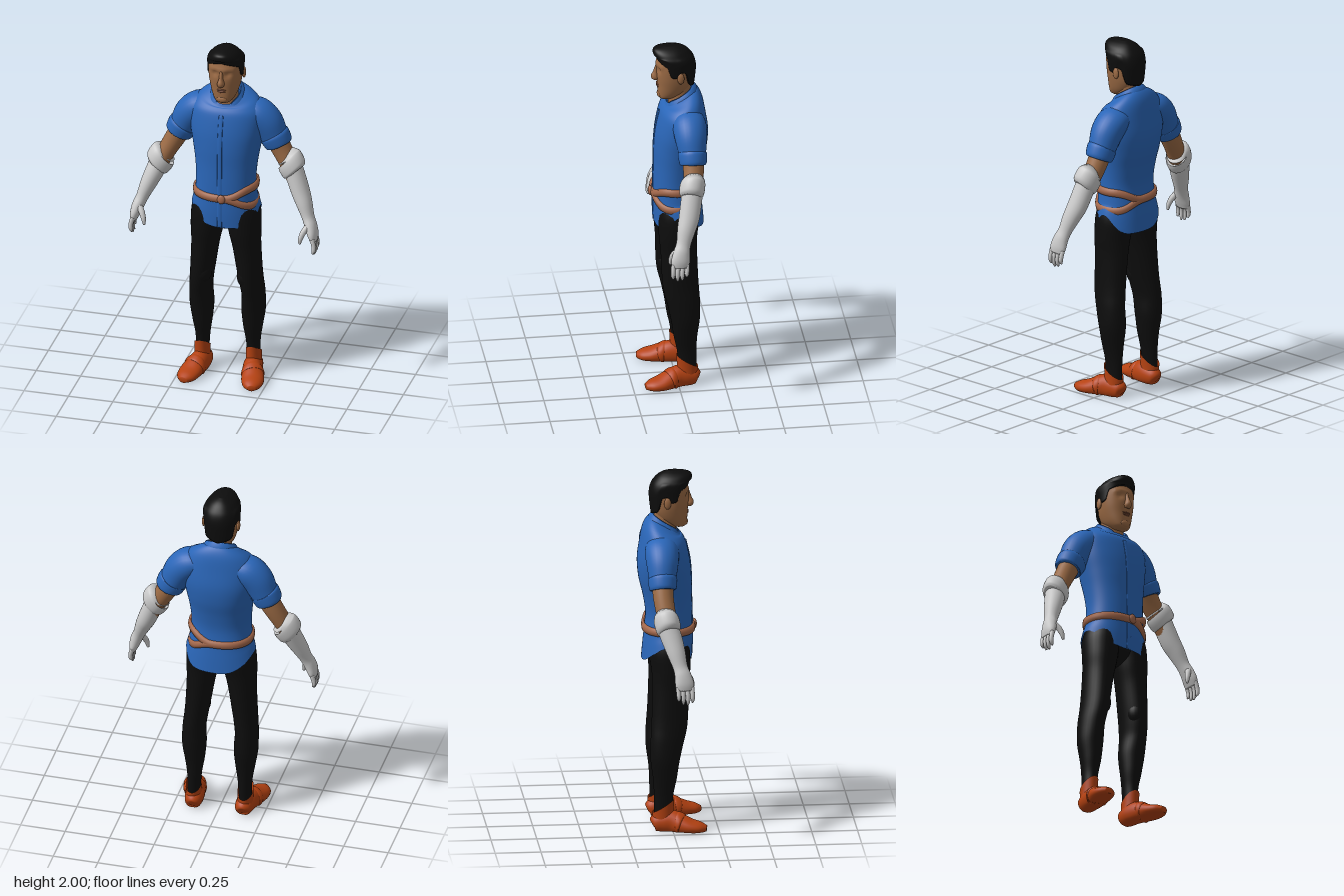
import * as THREE from 'three';

const V = (x, y, z) => new THREE.Vector3(x, y, z);
const mat = (color) => new THREE.MeshStandardMaterial({ color, side: THREE.DoubleSide });
const BLUE = mat(0x2a66b8), SKIN = mat(0x9c6b45), LIP = mat(0x84513a), BLACK = mat(0x0d0d0d);
const LEATHER = mat(0xa5694c), BOOT = mat(0xb54212), GLOVE = mat(0xd2d2d2);
const { smoothstep, lerp } = THREE.MathUtils;

// Catmull-Rom smoothing of every column of a table of cross-sections
function spline(rows, n = 5) {
  const cr = (a, b, c, d, t) => 0.5 * (2 * b + (c - a) * t + (2 * a - 5 * b + 4 * c - d) * t * t + (3 * b - a - 3 * c + d) * t * t * t);
  const out = [], last = rows.length - 1;
  for (let i = 0; i < last; i++) {
    const [p, q, r, s] = [Math.max(i - 1, 0), i, i + 1, Math.min(i + 2, last)].map(k => rows[k]);
    for (let k = 0; k < n; k++) out.push(q.map((_, c) => cr(p[c], q[c], r[c], s[c], k / n)));
  }
  out.push(rows[last]);
  return out;
}

// Skin a list of closed loops, optionally capping the ends
function loft(name, loops, material, cap = true) {
  const n = loops[0].length, pos = [], idx = [];
  loops.forEach(l => l.forEach(p => pos.push(p.x, p.y, p.z)));
  for (let i = 0; i < loops.length - 1; i++) for (let j = 0; j < n; j++) {
    const a = i * n + j, b = i * n + (j + 1) % n;
    idx.push(a, b, b + n, a, b + n, a + n);
  }
  if (cap) [0, loops.length - 1].forEach((i, end) => {
    const c = loops[i].reduce((s, p) => s.add(p), V(0, 0, 0)).divideScalar(n), k = pos.length / 3;
    pos.push(c.x, c.y, c.z);
    for (let j = 0; j < n; j++) {
      const a = i * n + j, b = i * n + (j + 1) % n;
      idx.push(...(end ? [a, b, k] : [b, a, k]));
    }
  });
  const g = new THREE.BufferGeometry();
  g.setAttribute('position', new THREE.Float32BufferAttribute(pos, 3));
  g.setIndex(idx);
  g.computeVertexNormals();
  const m = new THREE.Mesh(g, material);
  m.name = name;
  return m;
}

// Horizontal loop: half width, front z, back z, and slope along z
function ring([y, w, zf, zb, tilt = 0], deform, e = 0.92, n = 64) {
  return Array.from({ length: n }, (_, j) => {
    const a = j / n * Math.PI * 2, s = Math.sin(a), c = Math.cos(a);
    const dz = Math.sign(c) * Math.abs(c) ** e * (zf - zb) / 2;
    const p = V(Math.sign(s) * Math.abs(s) ** e * w, y + dz * tilt, (zf + zb) / 2 + dz);
    if (deform) deform(p, a);
    return p;
  });
}
const stack = (name, rows, material, deform, cap, e) =>
  loft(name, spline(rows).map(r => ring(r, deform, e)), material, cap);

// Limb along a path; rows are [x, y, z, half width, half depth]
function limb(name, rows, material, { ref = V(0, 0, 1), n = 28, deform, cap = true } = {}) {
  const rs = spline(rows), at = i => V(...rs[Math.min(Math.max(i, 0), rs.length - 1)].slice(0, 3));
  return loft(name, rs.map((r, i) => {
    const d = at(i + 1).sub(at(i - 1)).normalize();
    const u = d.clone().cross(ref).normalize(), v = u.clone().cross(d);
    return Array.from({ length: n }, (_, j) => {
      const a = j / n * Math.PI * 2;
      const p = at(i).addScaledVector(u, Math.sin(a) * r[3]).addScaledVector(v, Math.cos(a) * r[4]);
      if (deform) deform(p);
      return p;
    });
  }), material, cap);
}

function ball(name, p, r, material) {
  const m = new THREE.Mesh(new THREE.SphereGeometry(1, 24, 16).scale(...r).translate(...p), material);
  m.name = name;
  return m;
}

// Flip finished meshes to the other side, keeping faces outward
function mirror(group) {
  group.children.forEach(({ geometry: g }) => {
    g.scale(-1, 1, 1);
    const ix = g.index.array;
    for (let i = 0; i < ix.length; i += 3) [ix[i], ix[i + 1]] = [ix[i + 1], ix[i]];
    g.computeVertexNormals();
  });
  return group;
}
const grouped = (name, ...parts) => { const g = new THREE.Group(); g.name = name; g.add(...parts); return g; };

function shirt() {
  const rows = [[0.94, 0.192, 0.116, -0.157], [1.02, 0.184, 0.12, -0.15], [1.1, 0.172, 0.12, -0.142], [1.2, 0.165, 0.119, -0.135],
    [1.3, 0.172, 0.116, -0.15], [1.4, 0.188, 0.115, -0.173], [1.5, 0.205, 0.106, -0.18], [1.6, 0.205, 0.084, -0.166],
    [1.662, 0.168, 0.064, -0.148, -0.25], [1.69, 0.115, 0.053, -0.118, -0.55], [1.7, 0.074, 0.045, -0.09, -0.6]]
    .map(r => r.length < 5 ? [...r, 0] : r);
  // Shirt tails: low front and back, slit up at the hips
  const hem = a => 0.94 + 0.1 * Math.abs(Math.sin(a)) ** (Math.sin(a) > 0 ? 7 : 2.5);
  const tails = (p, a) => { if (p.y < 1.1) p.y = 1.1 - (1.1 - p.y) * (1.1 - hem(a)) / 0.16; };
  const placket = rows.slice(0, 8).map(r => [-0.004, r[0] + 0.005, r[2], 0.013, 0.004]);
  // Folded collar dropping to a V in front
  const band = (y, w, f, b) => ring([y, w, f, b, -0.62], (p, a) => { p.y -= 0.03 * Math.max(0, Math.cos(a)) ** 6; });
  const collar = [band(1.665, 0.1, 0.066, -0.122), band(1.685, 0.1, 0.064, -0.12), band(1.713, 0.08, 0.05, -0.102),
    band(1.717, 0.073, 0.043, -0.094), band(1.675, 0.073, 0.043, -0.09)];
  return grouped('shirt', stack('shirtBody', rows, BLUE, tails, false),
    limb('placket', placket, BLUE, { n: 12 }), loft('collar', collar, BLUE, false));
}

// Two straps that run together on one hip and part on the other
function belt() {
  const strap = (sign) => {
    const rr = (dy, o) => ring([1.12 + dy, 0.167 + o, 0.121 + o, -0.141 - o],
      (p, a) => { p.y += sign * 0.052 * smoothstep(Math.sin(a), 0.1, 0.95); });
    return loft('beltStrap', [rr(-0.021, 0), rr(-0.019, 0.013), rr(0, 0.016), rr(0.019, 0.013), rr(0.021, 0)], LEATHER, false);
  };
  return grouped('belt', strap(1), strap(-1), ball('buckle', [0.01, 1.122, 0.135], [0.022, 0.027, 0.012], LEATHER));
}

function head() {
  const face = (p) => {
    if (p.z < 0.02) return;
    const eye = Math.exp(-((Math.abs(p.x) - 0.036) ** 2 + (p.y - 1.866) ** 2) / 0.0003);
    const brow = Math.exp(-((p.y - 1.89) ** 2) / 0.00015) * (Math.abs(p.x) < 0.07 ? 1 : 0);
    p.z += 0.005 * brow - 0.011 * eye;
  };
  const skull = stack('face', [[1.683, 0.03, 0.078, 0.02], [1.695, 0.048, 0.09, -0.01], [1.725, 0.067, 0.093, -0.06], [1.77, 0.081, 0.095, -0.088],
    [1.82, 0.09, 0.099, -0.096], [1.88, 0.094, 0.1, -0.1], [1.93, 0.091, 0.092, -0.1], [1.965, 0.068, 0.07, -0.07], [1.98, 0.03, 0.03, -0.03]],
    SKIN, face);
  const edge = [[0, 1.935], [0.6, 1.92], [1.1, 1.9], [1.3, 1.84], [1.6, 1.835], [1.75, 1.87], [2.05, 1.86], [2.3, 1.78], [3.2, 1.755]];
  const hairline = (a) => {
    const t = Math.min(a, Math.PI * 2 - a), i = edge.findIndex(e => e[0] > t);
    const [p, q] = [edge[i - 1], edge[i]];
    return lerp(p[1], q[1], (t - p[0]) / (q[0] - p[0]));
  };
  const hair = stack('hair', [[1.755, 0.098, 0.102, -0.105], [1.82, 0.1, 0.104, -0.113], [1.88, 0.101, 0.106, -0.116], [1.93, 0.096, 0.112, -0.103],
    [1.965, 0.077, 0.119, -0.077], [1.986, 0.05, 0.108, -0.05], [1.998, 0.02, 0.06, -0.02]], BLACK,
    (p, a) => { if (p.y < 1.95) p.y = 1.95 - (1.95 - p.y) * (1.95 - hairline(a)) / 0.195; });
  const g = grouped('head', skull, hair,
    stack('neck', [[1.58, 0.07, 0.035, -0.09], [1.66, 0.063, 0.034, -0.092], [1.72, 0.06, 0.03, -0.088], [1.8, 0.06, 0.02, -0.085]], SKIN),
    limb('nose', [[0, 1.885, 0.092, 0.009, 0.011], [0, 1.84, 0.1, 0.012, 0.018], [0, 1.812, 0.105, 0.02, 0.024], [0, 1.796, 0.098, 0.015, 0.01]], SKIN),
    ball('upperLip', [0, 1.769, 0.094], [0.026, 0.005, 0.007], LIP),
    ball('lowerLip', [0, 1.758, 0.093], [0.022, 0.006, 0.007], LIP),
    ball('chin', [0, 1.708, 0.083], [0.03, 0.02, 0.014], SKIN));
  for (const s of [-1, 1]) g.add(ball('ear', [s * 0.097, 1.835, -0.022], [0.01, 0.032, 0.019], SKIN));
  return g;
}

// Arm on the left; gx, gy place the glove cuff
function arm(name, gx, gy) {
  const g = grouped(name,
    limb('sleeve', [[0.1, 1.6, -0.06, 0.06, 0.08], [0.16, 1.583, -0.06, 0.084, 0.092], [0.212, 1.535, -0.061, 0.088, 0.088],
      [0.25, 1.465, -0.064, 0.079, 0.076], [0.278, 1.412, -0.065, 0.069, 0.067]], BLUE),
    limb('sleeveCuff', [[0.253, 1.46, -0.064, 0.076, 0.074], [0.257, 1.453, -0.064, 0.084, 0.08], [0.28, 1.41, -0.065, 0.078, 0.074],
      [0.284, 1.402, -0.065, 0.066, 0.064]], BLUE),
    limb('upperArm', [[0.25, 1.46, -0.064, 0.06, 0.06], [0.3, 1.37, -0.064, 0.056, 0.056], [0.35, 1.28, -0.052, 0.05, 0.053],
      [0.4, 1.18, -0.03, 0.047, 0.05]], SKIN),
    limb('gloveCuff', [[gx - 0.022, gy + 0.045, -0.055, 0.05, 0.054], [gx - 0.022, gy + 0.05, -0.056, 0.06, 0.066], [gx - 0.008, gy + 0.02, -0.05, 0.064, 0.07],
      [gx + 0.012, gy - 0.022, -0.044, 0.061, 0.066], [gx + 0.02, gy - 0.04, -0.04, 0.05, 0.055]], GLOVE,
      { deform: p => { p.y += 0.55 * (p.x - gx); } }),
    limb('glove', [[gx, gy, -0.05, 0.053, 0.058], [0.41, 1.16, -0.027, 0.051, 0.057], [0.44, 1.09, -0.006, 0.044, 0.05], [0.467, 1.02, 0.013, 0.034, 0.04],
      [0.486, 0.975, 0.026, 0.033, 0.045], [0.5, 0.93, 0.034, 0.028, 0.051], [0.507, 0.895, 0.036, 0.019, 0.045]], GLOVE),
    limb('thumb', [[0.478, 0.985, 0.045, 0.017, 0.018], [0.455, 0.95, 0.068, 0.016, 0.016], [0.442, 0.915, 0.08, 0.013, 0.013],
      [0.438, 0.885, 0.083, 0.007, 0.007]], GLOVE, { n: 12 }));
  [0, 1, 2, 3].forEach(i => {
    const z = 0.073 - i * 0.025, tip = [0.83, 0.816, 0.82, 0.84][i];
    g.add(limb('finger', [[0.505, 0.915, z, 0.013, 0.013], [0.515, 0.875, z + 0.003, 0.0125, 0.0125],
      [0.515, lerp(0.875, tip, 0.6), z + 0.004, 0.011, 0.011], [0.508, tip, z + 0.003, 0.005, 0.005]], GLOVE, { n: 12 }));
  });
  return g;
}

function leg(name) {
  const along = { ref: V(0, 1, 0), deform: p => { p.y = Math.max(p.y, 0); } };
  return grouped(name,
    limb('trouserLeg', [[0.145, 0.08, -0.05, 0.034, 0.05], [0.142, 0.2, -0.048, 0.039, 0.053], [0.142, 0.3, -0.041, 0.054, 0.066],
      [0.145, 0.4, -0.04, 0.066, 0.08], [0.147, 0.5, -0.03, 0.063, 0.09], [0.139, 0.58, -0.018, 0.064, 0.097], [0.13, 0.66, -0.012, 0.068, 0.099],
      [0.116, 0.8, -0.008, 0.077, 0.1], [0.106, 0.9, -0.005, 0.09, 0.106], [0.095, 1, -0.012, 0.096, 0.112], [0.085, 1.08, -0.01, 0.08, 0.1]], BLACK),
    ball('knee', [0.126, 0.62, 0.03], [0.055, 0.07, 0.053], BLACK),
    // Boot shaft rises to a point over the shin
    limb('bootShaft', [[0.144, 0.03, -0.05, 0.046, 0.056], [0.145, 0.08, -0.051, 0.043, 0.056], [0.145, 0.142, -0.05, 0.043, 0.06]], BOOT,
      { cap: false, deform: p => { p.y += 0.65 * (p.z + 0.05) * smoothstep(p.y, 0.05, 0.14); } }),
    limb('bootFoot', [[0.14, 0.035, -0.11, 0.02, 0.022], [0.14, 0.04, -0.097, 0.042, 0.046], [0.143, 0.045, -0.05, 0.052, 0.06], [0.15, 0.045, 0, 0.054, 0.066],
      [0.165, 0.036, 0.05, 0.06, 0.053], [0.178, 0.026, 0.1, 0.062, 0.04], [0.187, 0.02, 0.15, 0.05, 0.03], [0.193, 0.017, 0.183, 0.022, 0.016]], BOOT, along),
    limb('bootBand', [[0.157, 0.04, 0.025, 0.056, 0.06], [0.159, 0.04, 0.031, 0.061, 0.064], [0.164, 0.038, 0.046, 0.064, 0.058],
      [0.167, 0.036, 0.054, 0.059, 0.051]], BOOT, along));
}

export function createModel() {
  return grouped('figure', head(), shirt(), belt(),
    arm('leftArm', 0.362, 1.285), mirror(arm('rightArm', 0.385, 1.225)),
    leg('leftLeg'), mirror(leg('rightLeg')),
    ball('pelvis', [0, 0.985, -0.01], [0.12, 0.1, 0.1], BLACK));
}
